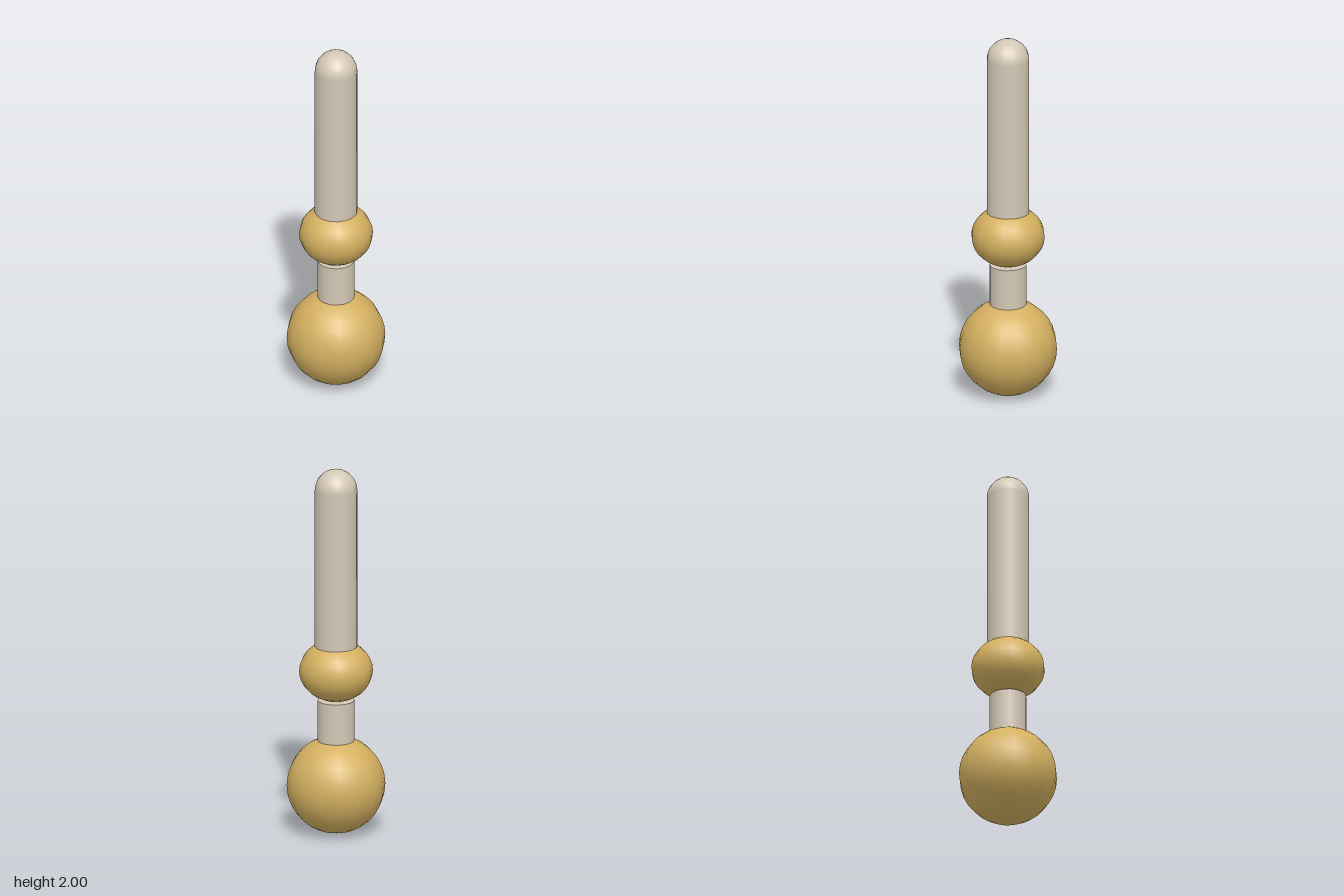
import * as THREE from 'three';

export function createModel() {
  const group = new THREE.Group();
  const gold = new THREE.MeshStandardMaterial({ color: 0xd4b060 });
  gold.name = 'gold';
  const ivory = new THREE.MeshStandardMaterial({ color: 0xd4c8b6 });
  ivory.name = 'ivory';
  const SIDES = 16;

  const add = (name, geometry, material, y) => {
    const mesh = new THREE.Mesh(geometry, material);
    mesh.name = name;
    mesh.position.y = y;
    group.add(mesh);
    return mesh;
  };

  // Round ball at the base
  add('baseBall', new THREE.SphereGeometry(0.262, SIDES, SIDES), gold, 0.262);

  // Short neck rising out of the ball, flat on top
  add('neck', new THREE.CylinderGeometry(0.098, 0.098, 0.267, SIDES), ivory, 0.5935);

  // Squashed collar ball resting on the neck
  const collar = new THREE.SphereGeometry(0.196, SIDES, SIDES);
  collar.scale(1, 0.165 / 0.196, 1);
  add('collarBall', collar, gold, 0.89);

  // Long shaft set into the collar
  add('shaft', new THREE.CylinderGeometry(0.113, 0.113, 0.947, SIDES), ivory, 1.4135);

  // Domed tip of the shaft
  add('shaftTip', new THREE.SphereGeometry(0.113, SIDES, 8, 0, Math.PI * 2, 0, Math.PI / 2), ivory, 1.887);

  return group;
}
